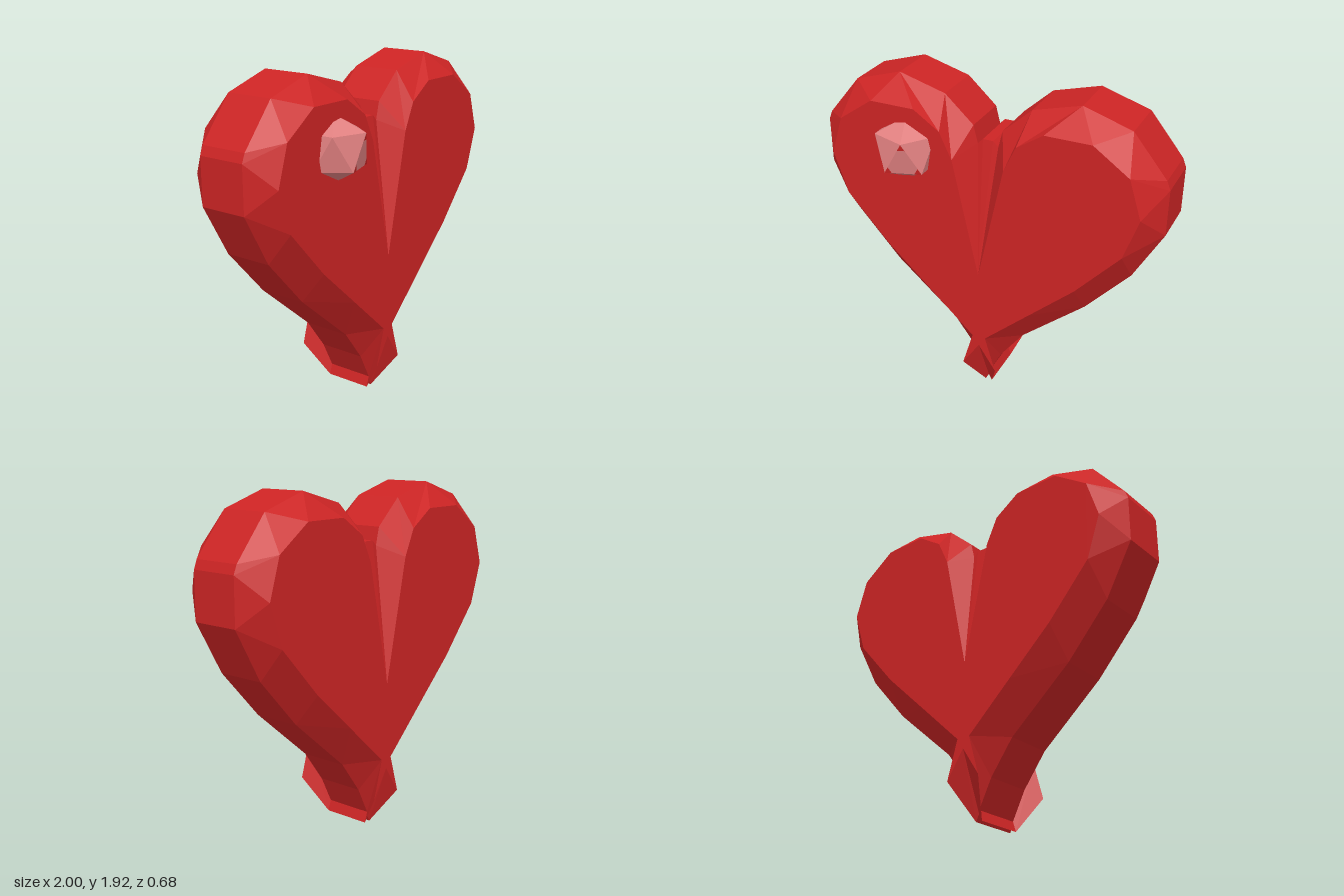
import * as THREE from 'three';
import { ConvexGeometry } from 'three/addons/geometries/ConvexGeometry.js';

const CAP = 0.275, RIM = 0.14; // half depths of the flat faces and of the outer rim

// [face x, face y, rim x, rim y] for one half, from the cleft over the lobe to the tip
const PROFILE = [
  [0, 0.85, 0, 1.63],
  [0, 0.85, 0.03, 1.63],
  [0.15, 1.54, 0.06, 1.6],
  [0.15, 1.54, 0.085, 1.7],
  [0.22, 1.69, 0.25, 1.85],
  [0.37, 1.79, 0.52, 1.925],
  [0.63, 1.79, 0.52, 1.925],
  [0.63, 1.79, 0.79, 1.84],
  [0.83, 1.65, 0.79, 1.84],
  [0.83, 1.65, 0.98, 1.61],
  [0.9, 1.43, 1, 1.56],
  [0.9, 1.43, 1, 1.3],
  [0.82, 1.19, 1, 1.3],
  [0.82, 1.19, 0.84, 1.01],
  [0.57, 0.91, 0.84, 1.01],
  [0.57, 0.91, 0.59, 0.73],
  [0.31, 0.67, 0.59, 0.73],
  [0.04, 0.42, 0.22, 0.41],
  [0.04, 0.42, 0.08, 0.22],
  [0.04, 0.42, 0, 0.06],
];

function heartGeometry() {
  const pos = [];
  // Adds a triangle with its mirror images left/right and front/back
  const tri = (a, b, c) => {
    const va = new THREE.Vector3(...a), vb = new THREE.Vector3(...b), vc = new THREE.Vector3(...c);
    if (vb.sub(va).cross(vc.sub(va)).length() < 1e-7) return;
    for (const sx of [1, -1]) {
      for (const sz of [1, -1]) {
        for (const p of sx * sz > 0 ? [a, b, c] : [a, c, b]) pos.push(p[0] * sx, p[1], p[2] * sz);
      }
    }
  };
  const quad = (a, b, c, d) => { tri(a, b, c); tri(a, c, d); };
  const face = (x, y) => [x, y, CAP];
  const rim = (x, y) => [x, y, RIM];
  const wall = (p, q) => quad(p, q, [q[0], q[1], 0], [p[0], p[1], 0]);

  // Bevel and rim
  for (let i = 0; i < PROFILE.length - 1; i++) {
    const [ax, ay, bx, by] = PROFILE[i], [cx, cy, dx, dy] = PROFILE[i + 1];
    quad(face(ax, ay), face(cx, cy), rim(dx, dy), rim(bx, by));
    wall(rim(bx, by), rim(dx, dy));
  }

  // Flat face
  const outline = PROFILE.filter((p, i) => !i || p[0] !== PROFILE[i - 1][0] || p[1] !== PROFILE[i - 1][1])
    .map(p => new THREE.Vector2(p[0], p[1]));
  outline.push(new THREE.Vector2(0, 0.36));
  outline.reverse();
  for (const t of THREE.ShapeUtils.triangulateShape(outline, [])) {
    const [a, b, c] = t.map(i => outline[i]);
    const ccw = (b.x - a.x) * (c.y - a.y) - (b.y - a.y) * (c.x - a.x) > 0;
    const [p, q, r] = (ccw ? [a, b, c] : [a, c, b]).map(v => face(v.x, v.y));
    tri(p, q, r);
  }

  // Flared fins at the tip
  const waist = face(0.04, 0.42), fork = face(0, 0.36), flare = face(0.105, 0.2);
  const foot = rim(0.02, 0), top = rim(0, 0.06), notch = rim(0, 0.04);
  tri(waist, fork, flare);
  quad(waist, flare, foot, top);
  tri(flare, fork, foot);
  tri(fork, notch, foot);
  wall(top, foot);
  wall(foot, notch);

  const geo = new THREE.BufferGeometry();
  geo.setAttribute('position', new THREE.Float32BufferAttribute(pos, 3));
  geo.computeVertexNormals();
  return geo;
}

export function createModel() {
  const group = new THREE.Group();
  const red = new THREE.MeshStandardMaterial({ color: 0xcc2424, flatShading: true });
  red.name = 'red';
  const pink = new THREE.MeshStandardMaterial({ color: 0xe08080, flatShading: true });
  pink.name = 'pink';
  const add = (name, geo, mat, parent) => {
    const mesh = new THREE.Mesh(geo, mat);
    mesh.name = name;
    parent.add(mesh);
    return mesh;
  };

  add('heartBody', heartGeometry(), red, group).position.z = -0.065;

  // Faceted highlight bead: two poles and two staggered rings of five
  const bead = new THREE.Group();
  bead.name = 'highlight';
  bead.position.set(-0.435, 1.545, 0.175);
  group.add(bead);
  const ring = (deg, y) => {
    const a = THREE.MathUtils.degToRad(deg);
    return new THREE.Vector3(0.172 * Math.sin(a), y, 0.172 * Math.cos(a));
  };
  const points = [new THREE.Vector3(0, 0.178, 0), new THREE.Vector3(0, -0.178, 0)];
  for (let i = 0; i < 5; i++) points.push(ring(18 + 72 * i, 0.093), ring(-18 + 72 * i, -0.093));
  add('highlightBead', new ConvexGeometry(points), pink, bead);

  // Small red flecks in the corners of the front facet
  const corners = [ring(18, 0.093), ring(-18, -0.093), ring(54, -0.093)];
  const normal = new THREE.Triangle(...corners).getNormal(new THREE.Vector3());
  corners.forEach((c, i) => {
    const tips = [c, c.clone().lerp(corners[(i + 1) % 3], 0.2), c.clone().lerp(corners[(i + 2) % 3], 0.2)];
    const geo = new THREE.BufferGeometry().setFromPoints(tips.map(p => p.clone().addScaledVector(normal, 0.002)));
    geo.computeVertexNormals();
    add('highlightFleck', geo, red, bead);
  });

  return group;
}
